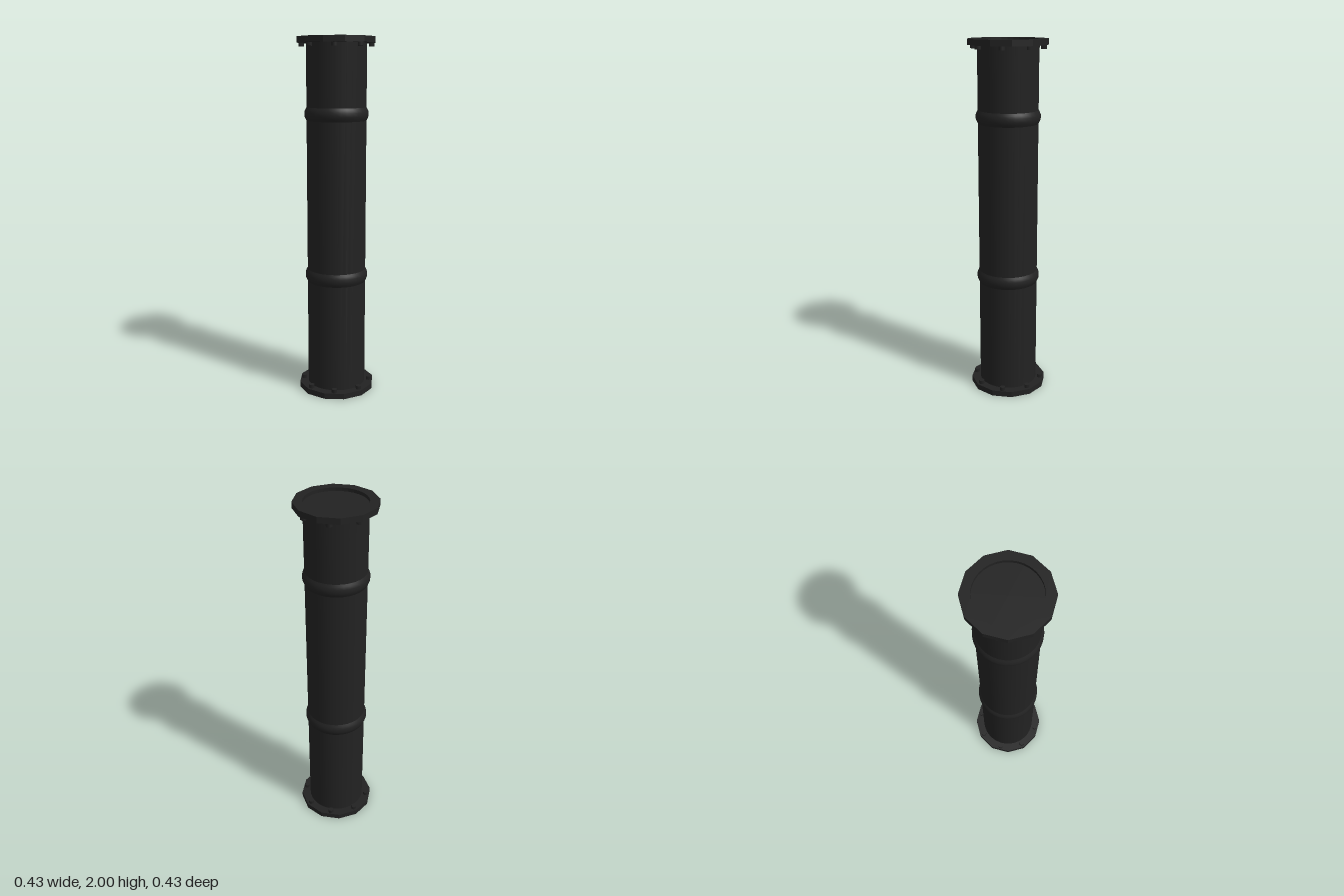
import * as THREE from 'three';

export function createModel() {
  const group = new THREE.Group();
  const iron = new THREE.MeshStandardMaterial({ color: 0x222222 });
  iron.name = 'dark iron';

  const add = (name, geometry, y = 0, parent = group) => {
    const mesh = new THREE.Mesh(geometry, iron);
    mesh.name = name;
    mesh.position.y = y;
    parent.add(mesh);
    return mesh;
  };

  // Capped pipe, its ends recessed inside the flanges
  const R = 0.165, recess = 0.018;
  add('pipe', new THREE.CylinderGeometry(R, R, 2 - 2 * recess, 32), 1);

  // Swollen bands around the pipe
  const profile = [[0.163, -0.04], [0.171, -0.025], [0.177, -0.01], [0.177, 0.01], [0.171, 0.025], [0.163, 0.04]]
    .map(([r, y]) => new THREE.Vector2(r, y));
  for (const [name, y] of [['lowerBand', 0.68], ['upperBand', 1.59]]) {
    add(name, new THREE.LatheGeometry(profile, 32), y);
  }

  // Twelve-sided flange plate with a round opening
  const T = 0.032, outer = 0.217;
  const corners = Array.from({ length: 12 }, (_, i) => {
    const a = (i / 12) * Math.PI * 2;
    return new THREE.Vector2(Math.cos(a) * outer, Math.sin(a) * outer);
  });
  const plate = new THREE.Shape(corners);
  plate.holes.push(new THREE.Path().absarc(0, 0, R, 0, Math.PI * 2, true));
  const flangeGeometry = new THREE.ExtrudeGeometry(plate, { depth: T, bevelEnabled: false, curveSegments: 16 });
  flangeGeometry.rotateX(-Math.PI / 2);

  // Bolt heads stand on the inner face of each flange
  const boltGeometry = new THREE.CylinderGeometry(0.016, 0.016, 0.024, 6);

  for (const end of ['bottom', 'top']) {
    const flange = new THREE.Group();
    flange.name = end + 'Flange';
    add('flangePlate', flangeGeometry, 0, flange);
    for (let i = 0; i < 8; i++) {
      const a = (i / 8) * Math.PI * 2;
      const bolt = add('bolt', boltGeometry, T + 0.008, flange);
      bolt.position.x = Math.cos(a) * 0.19;
      bolt.position.z = Math.sin(a) * 0.19;
      bolt.rotation.y = -a;
    }
    if (end === 'top') {
      flange.rotation.x = Math.PI;
      flange.position.y = 2;
    }
    group.add(flange);
  }
  return group;
}
